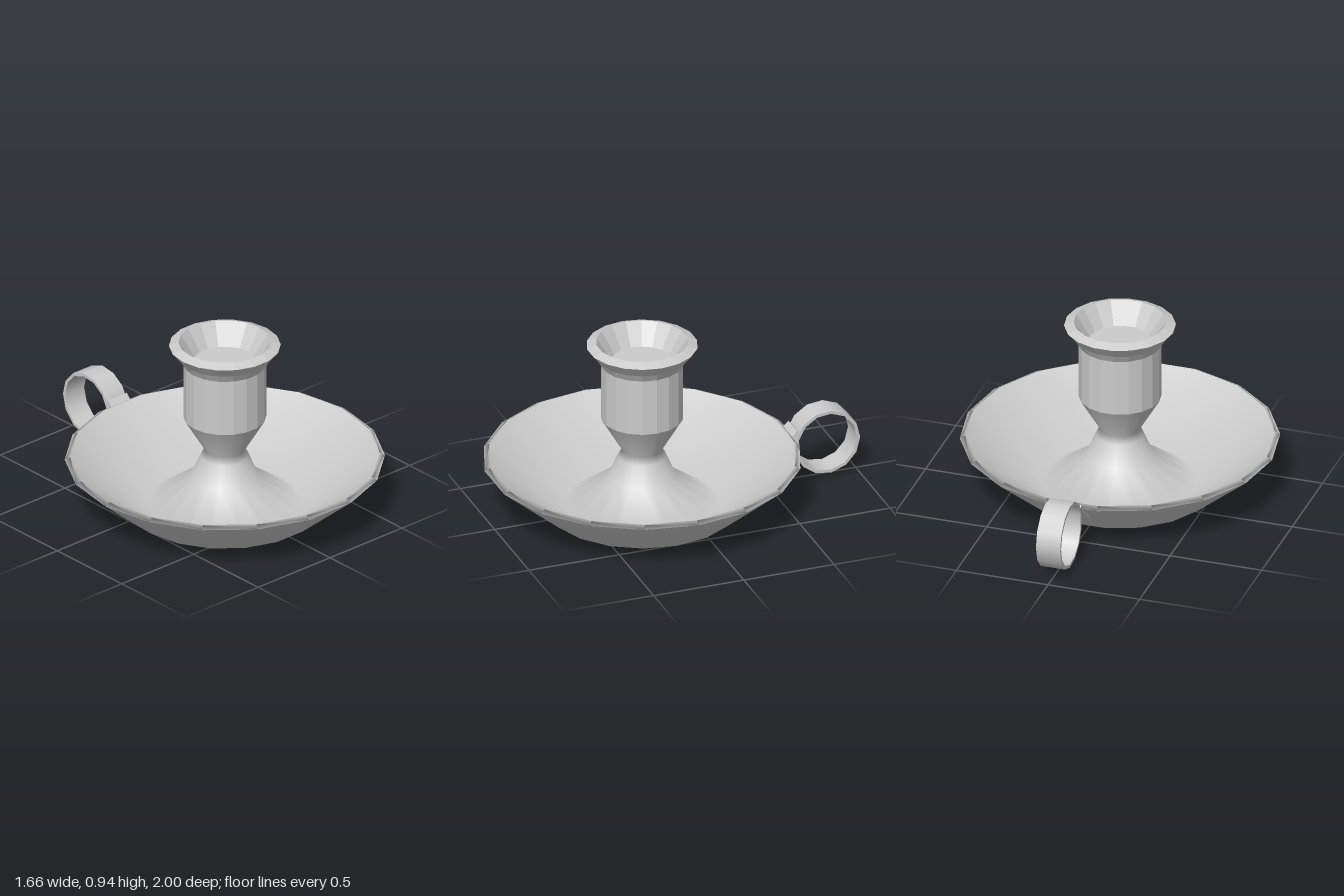
import * as THREE from 'three';

const SIDES = 18;
const grey = new THREE.MeshStandardMaterial({ color: 0xcccccc });
const facetedGrey = new THREE.MeshStandardMaterial({ color: 0xcccccc, flatShading: true });

// Revolve a list of [radius, height] points
function revolve(points, sides, start) {
  return new THREE.LatheGeometry(points.map(([r, y]) => new THREE.Vector2(r, y)), sides, start);
}

function addMesh(parent, name, geometry, material = grey) {
  const mesh = new THREE.Mesh(geometry, material);
  mesh.name = name;
  parent.add(mesh);
  return mesh;
}

export function createModel() {
  const model = new THREE.Group();
  model.name = 'chamberCandlestick';

  // Dish and socket share one upright axis
  const body = new THREE.Group();
  body.name = 'body';
  body.position.z = 0.183;
  model.add(body);

  // Flat underside
  addMesh(body, 'base', revolve([[0, 0], [0.51, 0]], SIDES, Math.PI / 2));

  // Sloping dish, rolled rim, and the flared foot rising to the neck
  addMesh(body, 'dishAndNeck', revolve([
    [0.51, 0], [0.83, 0.27], [0.8, 0.285], [0.4, 0.01],
    [0.175, 0.17], [0.125, 0.285], [0.105, 0.325], [0.215, 0.51],
  ], SIDES, Math.PI / 2));

  // Faceted candle socket with flared lip and shallow cup
  addMesh(body, 'candleSocket', revolve([
    [0.215, 0.51], [0.215, 0.82], [0.24, 0.863], [0.29, 0.925],
    [0.24, 0.945], [0.165, 0.83], [0, 0.83],
  ], SIDES, Math.PI / 2), facetedGrey);

  // Finger ring: a flat band, each of its four sides revolved separately for crisp edges
  const handle = new THREE.Group();
  handle.name = 'handle';
  model.add(handle);
  const outer = 0.18, inner = 0.163, half = 0.066;
  const band = [[outer, -half], [outer, half], [inner, half], [inner, -half]];
  const names = ['ringOuter', 'ringLeftEdge', 'ringInner', 'ringRightEdge'];
  names.forEach((name, i) => {
    const side = revolve([band[i], band[(i + 1) % 4]], 13, Math.PI);
    side.rotateZ(-Math.PI / 2);
    addMesh(handle, name, side).position.set(0, 0.209, -0.82);
  });

  // Tab fixing the ring under the rim
  const tab = addMesh(handle, 'handleTab', new THREE.BoxGeometry(half * 2, 0.014, 0.19));
  tab.position.set(0, 0.23, -0.59);
  tab.rotation.x = Math.PI / 4;

  return model;
}
